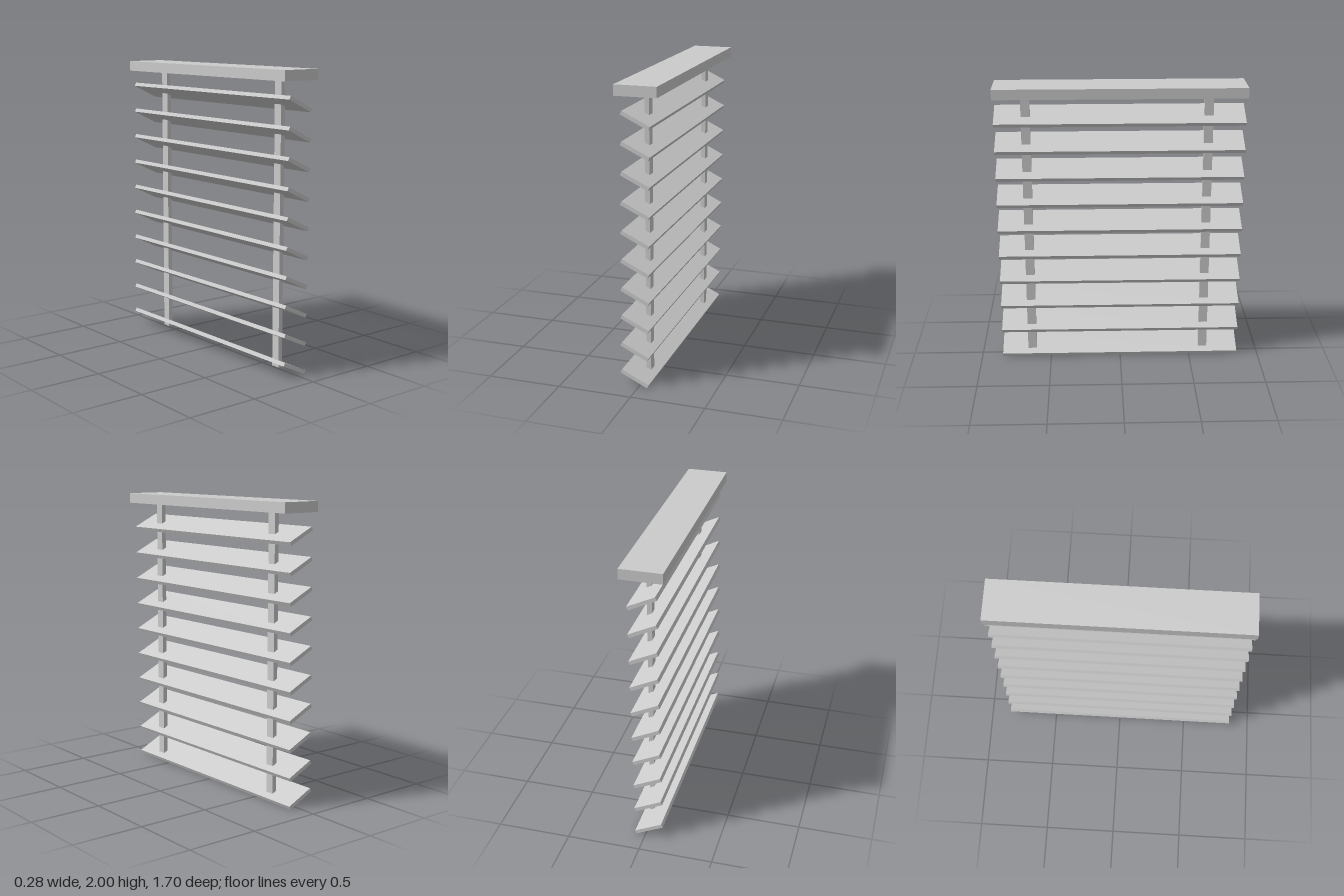
import * as THREE from 'three';

export function createModel() {
  const group = new THREE.Group();
  const material = new THREE.MeshStandardMaterial({ color: 0xcccccc, flatShading: true });

  const addBox = (name, size, position, tilt = 0) => {
    const mesh = new THREE.Mesh(new THREE.BoxGeometry(...size), material);
    mesh.name = name;
    mesh.position.set(...position);
    mesh.rotation.z = tilt;
    group.add(mesh);
  };

  // Head rail across the top
  addBox('headRail', [0.28, 0.07, 1.7], [0, 1.965, 0]);

  // Two vertical supports running through the slats
  addBox('leftSupport', [0.032, 1.925, 0.062], [0.011, 0.9725, 0.637]);
  addBox('rightSupport', [0.032, 1.925, 0.062], [0.011, 0.9725, -0.602]);

  // Tilted slats, drifting slightly sideways towards the bottom
  const slatCount = 10;
  for (let i = 0; i < slatCount; i++) {
    const t = i / (slatCount - 1);
    const x = THREE.MathUtils.lerp(-0.026, -0.003, t);
    const y = THREE.MathUtils.lerp(0.057, 1.784, t);
    addBox(`slat${i + 1}`, [0.204, 0.026, 1.7], [x, y, 0], -0.45);
  }

  return group;
}
